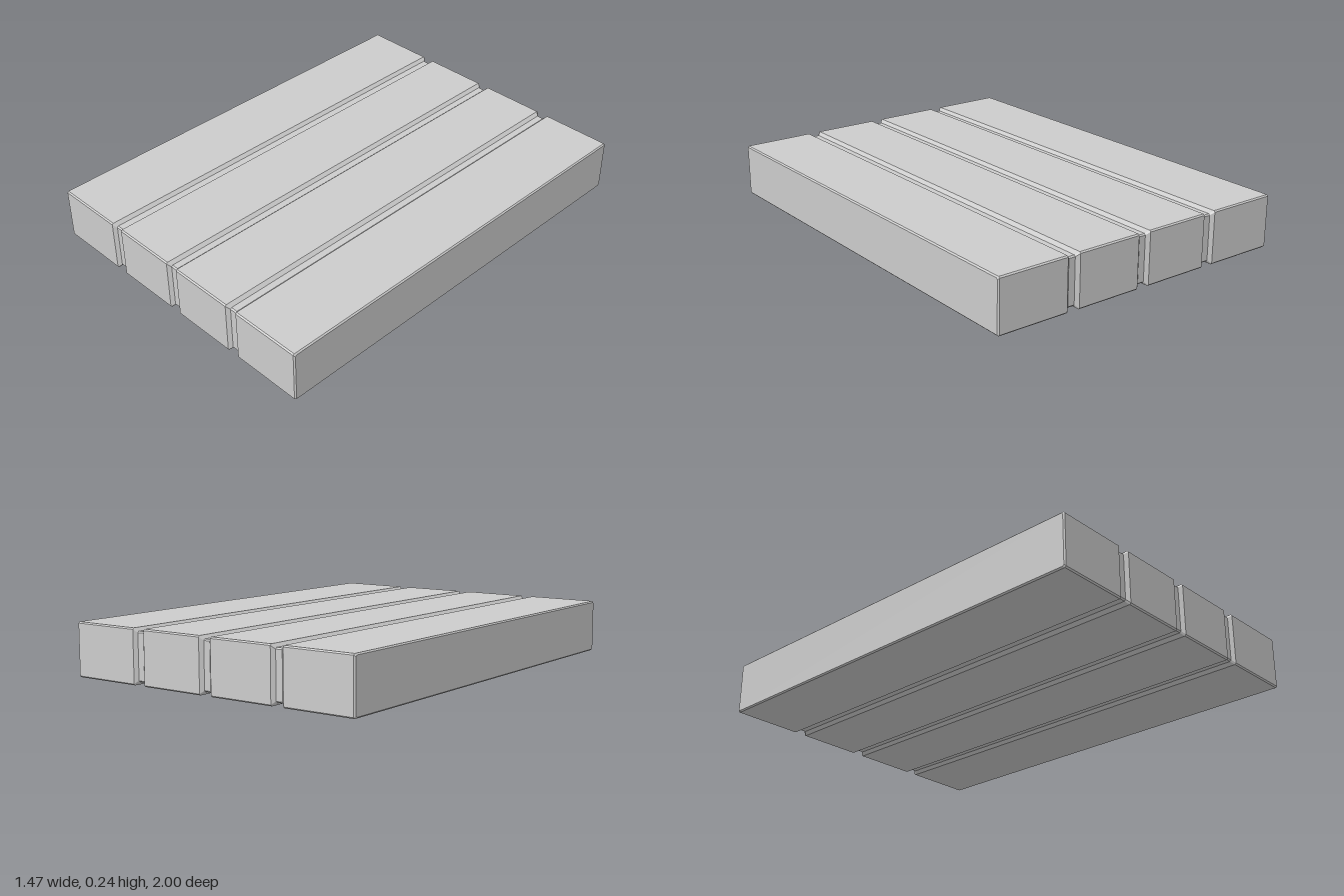
import * as THREE from 'three';

const HEIGHT = 0.243, HALF_LENGTH = 1, HALF_WIDTH = 0.737;
const BEVEL = 0.006;                                    // softened panel edges
const GROOVE = { top: 0.031, floor: 0.016, depth: 0.014 }; // half widths and depth
const GROOVE_X = [-0.37, 0, 0.37];

// Chamfered rectangle in the y-z plane, shrunk evenly by inset
function ring(x, inset) {
  const h = HEIGHT / 2 - inset, l = HALF_LENGTH - inset, b = BEVEL;
  return [
    [h, l - b], [h - b, l], [-h + b, l], [-h, l - b],
    [-h, -l + b], [-h + b, -l], [h - b, -l], [h, -l + b],
  ].map(([y, z]) => new THREE.Vector3(x, y + HEIGHT / 2, z));
}

// Joins rings along x; stations are [x, inset] pairs
function loft(stations, capStart = false, capEnd = false) {
  const rings = stations.map(([x, inset]) => ring(x, inset));
  const points = [];
  for (let i = 0; i < rings.length - 1; i++) {
    const r = rings[i], s = rings[i + 1];
    for (let j = 0; j < r.length; j++) {
      const k = (j + 1) % r.length;
      points.push(r[j], r[k], s[k], r[j], s[k], s[j]);
    }
  }
  const first = rings[0], last = rings[rings.length - 1];
  for (let j = 1; j < first.length - 1; j++) {
    if (capStart) points.push(first[0], first[j + 1], first[j]);
    if (capEnd) points.push(last[0], last[j], last[j + 1]);
  }
  const geometry = new THREE.BufferGeometry().setFromPoints(points);
  geometry.computeVertexNormals();
  return geometry;
}

export function createModel() {
  const group = new THREE.Group();
  group.name = 'groovedSlab';
  const material = new THREE.MeshStandardMaterial({ color: 0xcccccc, flatShading: true });
  const add = (name, geometry) => {
    const mesh = new THREE.Mesh(geometry, material);
    mesh.name = name;
    group.add(mesh);
  };

  // Four flat panels, the outer two closed with bevelled sides
  for (let i = 0; i <= GROOVE_X.length; i++) {
    const isFirst = i === 0, isLast = i === GROOVE_X.length;
    const stations = [];
    if (isFirst) stations.push([-HALF_WIDTH, BEVEL], [-HALF_WIDTH + BEVEL, 0]);
    else stations.push([GROOVE_X[i - 1] + GROOVE.top, 0]);
    if (isLast) stations.push([HALF_WIDTH - BEVEL, 0], [HALF_WIDTH, BEVEL]);
    else stations.push([GROOVE_X[i] - GROOVE.top, 0]);
    add(`panel${i + 1}`, loft(stations, isFirst, isLast));
  }

  // Grooves run all the way round: top, ends and underside
  GROOVE_X.forEach((x, i) => add(`groove${i + 1}`, loft([
    [x - GROOVE.top, 0], [x - GROOVE.floor, GROOVE.depth],
    [x + GROOVE.floor, GROOVE.depth], [x + GROOVE.top, 0],
  ])));

  return group;
}
